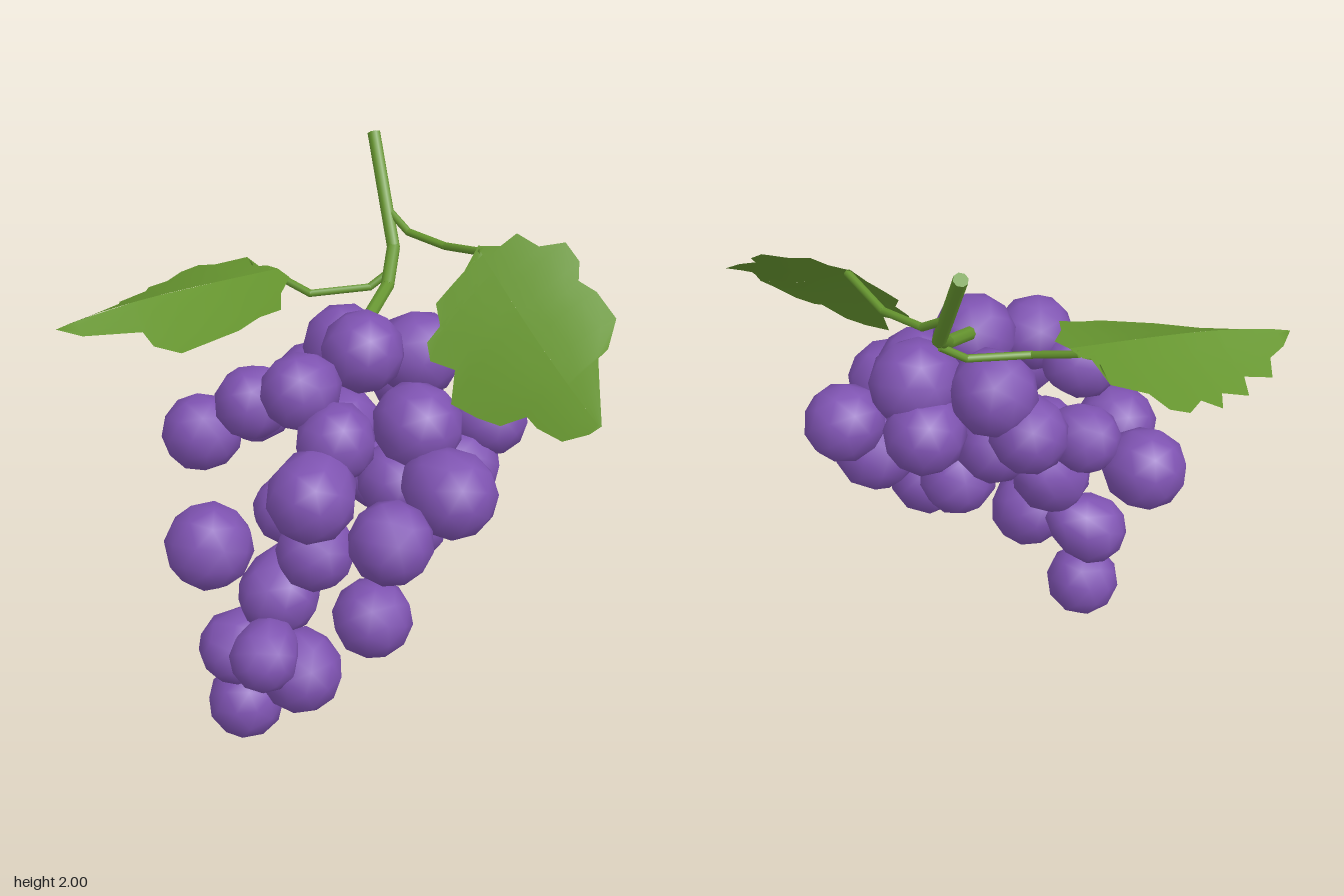
import * as THREE from 'three';
import { mergeVertices } from 'three/addons/utils/BufferGeometryUtils.js';

const purple = new THREE.MeshStandardMaterial({ color: 0x7f53b2 });
const green = new THREE.MeshStandardMaterial({ color: 0x66952f });
const leafGreen = new THREE.MeshStandardMaterial({ color: 0x66952f, side: THREE.DoubleSide });
purple.name = 'grapePurple';
green.name = 'stemGreen';
leafGreen.name = 'leafGreen';

// Grapes: x, y, z, radius, stretch of the inner end towards the bunch's core
const GRAPES = [
  // hanging tail
  [-0.36, 0.14, 0.20, 0.142, 1.05], [-0.19, 0.38, 0.40, 0.152, 1.1], [-0.39, 0.38, 0.20, 0.14, 1.5],
  [-0.33, 0.49, 0.45, 0.125, 1.4], [-0.24, 0.62, 0.25, 0.15, 1.5], [-0.12, 0.82, 0.32, 0.142, 1.25],
  // left side
  [-0.48, 0.83, 0.22, 0.16, 1.0], [-0.42, 0.99, -0.34, 0.148, 1.1], [-0.18, 0.90, 0.14, 0.13, 1.2],
  [-0.22, 1.10, -0.27, 0.125, 1.2],
  // front
  [0.08, 1.00, 0.61, 0.148, 1.0], [0.02, 0.71, 0.61, 0.14, 1.05], [-0.15, 1.08, 0.40, 0.158, 1.5],
  [0.35, 1.04, 0.40, 0.16, 1.3], [-0.03, 1.20, 0.24, 0.142, 1.1], [0.20, 1.0, 0.20, 0.14, 1.1],
  // right side
  [0.59, 1.12, 0.01, 0.143, 1.1], [0.47, 0.96, 0.06, 0.15, 1.15], [0.27, 0.78, 0.12, 0.143, 1.2],
  [0.28, 1.20, 0.18, 0.16, 1.1],
  // crown
  [0.12, 1.42, -0.01, 0.15, 1.0], [-0.13, 1.34, 0.10, 0.14, 1.15], [-0.28, 1.26, -0.01, 0.135, 1.2],
  [0.36, 1.33, -0.14, 0.16, 1.1],
  // back
  [0.11, 1.33, -0.27, 0.155, 1.1], [0.0, 1.18, -0.32, 0.14, 1.15], [0.35, 1.19, -0.25, 0.145, 1.15],
  [0.20, 0.89, -0.08, 0.14, 1.2], [0.08, 1.06, -0.16, 0.145, 1.1],
];
const CORE_TOP = new THREE.Vector3(0.15, 1.4, -0.05);
const CORE_END = new THREE.Vector3(-0.30, 0.3, 0.25);

// Faceted grape whose upper half is drawn out and slightly tapered
function grapeGeometry(stretch) {
  let geo = new THREE.IcosahedronGeometry(1, 1);
  geo.deleteAttribute('uv');
  geo.deleteAttribute('normal');
  geo = mergeVertices(geo);
  const p = geo.attributes.position;
  for (let i = 0; i < p.count; i++) {
    const y = p.getY(i);
    if (y <= 0) continue;
    const taper = 1 - 0.3 * (stretch - 1) * y;
    p.setXYZ(i, p.getX(i) * taper, y * stretch, p.getZ(i) * taper);
  }
  geo.computeVertexNormals();
  return geo;
}

// Round rods along a bent path
function rod(name, points, radius) {
  const group = new THREE.Group();
  group.name = name;
  const pts = points.map(p => new THREE.Vector3(...p));
  for (let i = 0; i < pts.length - 1; i++) {
    const dir = pts[i + 1].clone().sub(pts[i]);
    const seg = new THREE.Mesh(new THREE.CylinderGeometry(radius, radius, dir.length(), 8), green);
    seg.position.copy(pts[i]).addScaledVector(dir, 0.5);
    seg.quaternion.setFromUnitVectors(new THREE.Vector3(0, 1, 0), dir.normalize());
    seg.name = name + 'Segment';
    group.add(seg);
    if (i > 0) {
      const joint = new THREE.Mesh(new THREE.SphereGeometry(radius, 8, 6), green);
      joint.position.copy(pts[i]);
      joint.name = name + 'Joint';
      group.add(joint);
    }
  }
  return group;
}

// Leaf blade: strips from the midrib out to a toothed edge given as x, z pairs
function leaf(name, base, tip, edge, height) {
  const steps = 4, pos = [], index = [];
  const ax = tip[0] - base[0], az = tip[1] - base[1], len2 = ax * ax + az * az;
  for (const [x, z] of edge) {
    const t = THREE.MathUtils.clamp(((x - base[0]) * ax + (z - base[1]) * az) / len2, 0, 1);
    const mx = base[0] + ax * t, mz = base[1] + az * t;
    const width = Math.hypot(x - mx, z - mz);
    for (let s = 0; s <= steps; s++) {
      const k = s / steps, px = mx + (x - mx) * k, pz = mz + (z - mz) * k;
      pos.push(px, height(px, pz, t, width * k), pz);
    }
  }
  const row = steps + 1;
  for (let i = 0; i < edge.length; i++) {
    const a = i * row, b = ((i + 1) % edge.length) * row;
    for (let s = 0; s < steps; s++) {
      index.push(a + s, a + s + 1, b + s, b + s, a + s + 1, b + s + 1);
    }
  }
  const geo = new THREE.BufferGeometry();
  geo.setAttribute('position', new THREE.Float32BufferAttribute(pos, 3));
  geo.setIndex(index);
  geo.computeVertexNormals();
  const mesh = new THREE.Mesh(geo, leafGreen);
  mesh.name = name;
  return mesh;
}

export function createModel() {
  const model = new THREE.Group();
  model.name = 'grapeBunch';

  // Grapes, each pointing its inner end at the core of the bunch
  const grapes = new THREE.Group();
  grapes.name = 'grapes';
  const up = new THREE.Vector3(0, 1, 0);
  GRAPES.forEach(([x, y, z, r, stretch], i) => {
    const grape = new THREE.Mesh(grapeGeometry(stretch), purple);
    grape.position.set(x, y, z);
    const t = THREE.MathUtils.clamp((1.4 - (y + 0.12)) / 1.1, 0, 1);
    const inward = CORE_TOP.clone().lerp(CORE_END, t).sub(grape.position).normalize();
    grape.quaternion.setFromUnitVectors(up, inward);
    grape.rotateY(i * 1.3);
    grape.scale.setScalar(r);
    grape.name = 'grape';
    grapes.add(grape);
  });
  model.add(grapes);

  // Main stem and the two leaf stalks
  model.add(rod('mainStem', [[0.31, 1.99, -0.68], [0.325, 1.64, -0.41], [0.27, 1.55, -0.27], [0.16, 1.49, -0.12]], 0.025));
  model.add(rod('rightStalk', [[0.32, 1.76, -0.50], [0.38, 1.695, -0.41], [0.48, 1.69, -0.26], [0.56, 1.74, -0.06]], 0.014));
  model.add(rod('leftStalk', [[0.31, 1.58, -0.35], [0.22, 1.52, -0.34], [0.0, 1.51, -0.35], [-0.13, 1.56, -0.47]], 0.014));

  // Leaf over the model's right, drooping more towards its tip
  model.add(leaf('flatLeaf', [-0.10, -0.45], [-0.93, -0.32], [
    [-0.10, -0.45], [-0.13, -0.51], [-0.18, -0.53], [-0.18, -0.66], [-0.30, -0.69], [-0.35, -0.76],
    [-0.42, -0.76], [-0.48, -0.69], [-0.55, -0.71], [-0.57, -0.64], [-0.67, -0.63], [-0.68, -0.55],
    [-0.79, -0.53], [-0.81, -0.45], [-0.88, -0.39], [-0.93, -0.32], [-0.84, -0.27], [-0.63, -0.23],
    [-0.60, -0.16], [-0.51, -0.10], [-0.30, -0.13], [-0.22, -0.17], [-0.14, -0.18], [-0.12, -0.28],
    [-0.07, -0.38],
  ], (x, z, t, d) => 1.575 - 0.06 * t - 0.05 * t ** 4 - (0.1 + 0.5 * t) * d));

  // Leaf over the model's left, tilted steeply forward
  model.add(leaf('tiltedLeaf', [0.55, -0.07], [0.77, 0.64], [
    [0.55, -0.08], [0.62, -0.04], [0.68, -0.05], [0.74, 0.02], [0.83, 0.04], [0.86, 0.11],
    [0.84, 0.17], [0.89, 0.22], [0.93, 0.32], [0.87, 0.42], [0.83, 0.44], [0.81, 0.52],
    [0.78, 0.65], [0.74, 0.65], [0.66, 0.61], [0.60, 0.52], [0.58, 0.47], [0.50, 0.43],
    [0.44, 0.36], [0.37, 0.27], [0.40, 0.20], [0.33, 0.13], [0.33, 0.08], [0.38, 0.08],
    [0.38, 0.0], [0.47, -0.02],
  ], (x, z, t, d) => 1.365 + 0.61 * x - 0.70 * z - (0.3 + 1.4 * t) * d * d - 0.02 * Math.sin(Math.PI * t)));

  return model;
}
